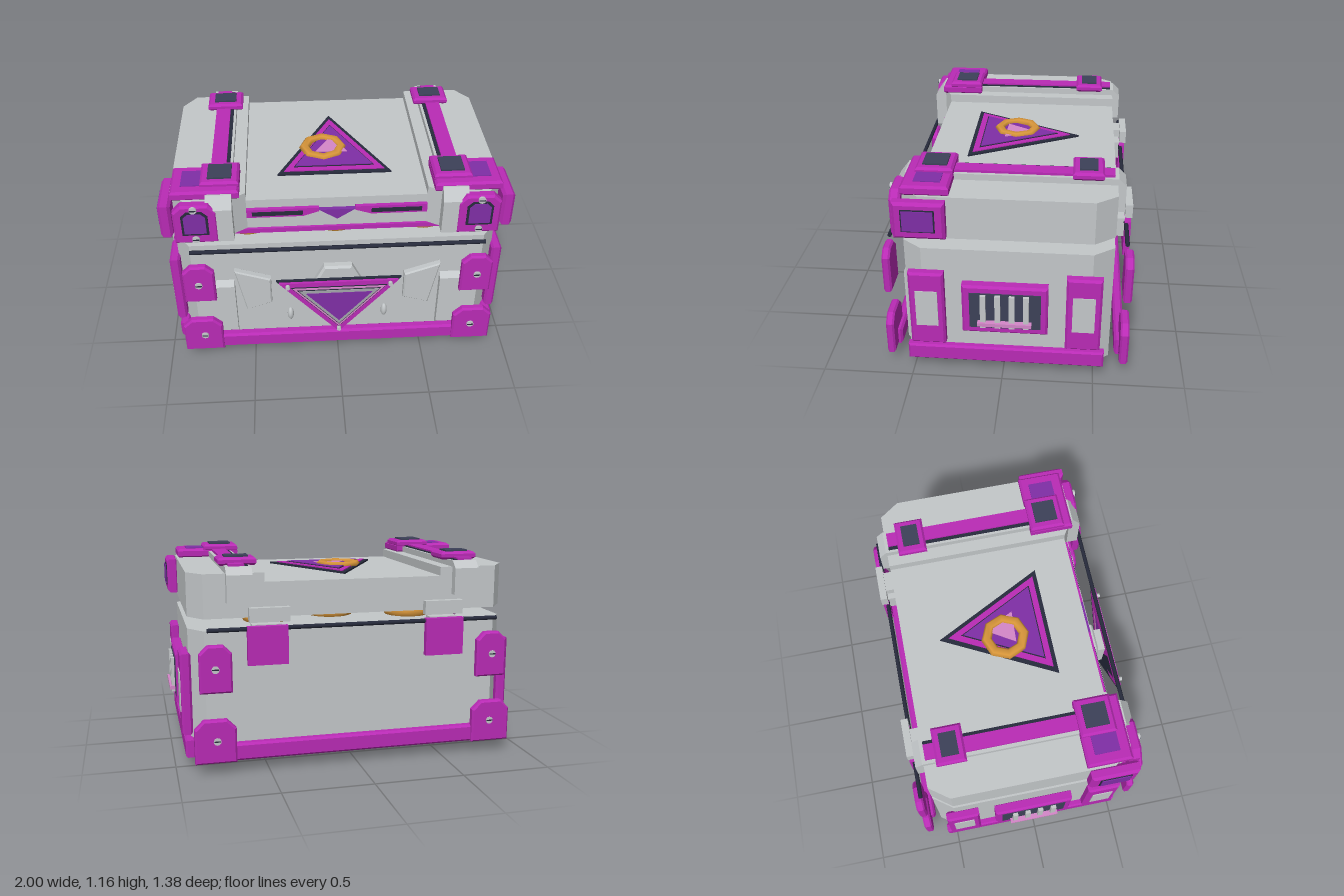
import * as THREE from 'three';

const mat = (name, color, side = THREE.FrontSide) => {
  const m = new THREE.MeshStandardMaterial({ color, side });
  m.name = name;
  return m;
};

export function createModel() {
  const root = new THREE.Group();
  root.name = 'chest';
  const grey = mat('light grey', 0xc3c7c9), magenta = mat('magenta', 0xb92bb5);
  const purple = mat('purple', 0x7f2ea6), navy = mat('navy', 0x3c4158);
  const dark = mat('dark trim', 0x272b3c), gold = mat('gold', 0xd8963a), pink = mat('pink', 0xd487c9);
  const steel = mat('steel', 0xa3a6aa);

  const add = (name, geo, m) => {
    const mesh = new THREE.Mesh(geo, m);
    mesh.name = name;
    root.add(mesh);
    return mesh;
  };
  const box = (name, m, x0, x1, y0, y1, z0, z1) => {
    const g = new THREE.BoxGeometry(Math.abs(x1 - x0), Math.abs(y1 - y0), Math.abs(z1 - z0));
    g.translate((x0 + x1) / 2, (y0 + y1) / 2, (z0 + z1) / 2);
    return add(name, g, m);
  };
  // Prism along an axis; points are (x,y) for z, (z,y) for x and (x,z) for y
  const prism = (name, m, axis, pts, a, b, bevel = 0) => {
    const lo = Math.min(a, b), d = Math.abs(b - a);
    const p = pts.map(([u, v]) => new THREE.Vector2(axis === 'x' ? -u : u, axis === 'y' ? -v : v));
    const g = new THREE.ExtrudeGeometry(new THREE.Shape(p), {
      depth: d - 2 * bevel, bevelEnabled: bevel > 0, bevelSize: bevel,
      bevelThickness: bevel, bevelOffset: -bevel, bevelSegments: 1
    });
    g.translate(0, 0, lo + bevel);
    if (axis === 'x') g.rotateY(Math.PI / 2);
    if (axis === 'y') g.rotateX(-Math.PI / 2);
    return add(name, g, m);
  };
  const rect = (u0, u1, v0, v1) => [[u0, v0], [u1, v0], [u1, v1], [u0, v1]];
  // Rectangle with clipped top corners
  const clipped = (u0, u1, v0, v1, c) =>
    [[u0, v0], [u1, v0], [u1, v1 - c], [u1 - c, v1], [u0 + c, v1], [u0, v1 - c]];
  // Triangle shrunk around its incentre
  const inset = ([a, b, c], k) => {
    const len = (p, q) => Math.hypot(p[0] - q[0], p[1] - q[1]);
    const la = len(b, c), lb = len(a, c), lc = len(a, b), s = la + lb + lc;
    const i = [0, 1].map(n => (la * a[n] + lb * b[n] + lc * c[n]) / s);
    return [a, b, c].map(p => [i[0] + (p[0] - i[0]) * k, i[1] + (p[1] - i[1]) * k]);
  };
  const screw = (x, y, z) => {
    const g = new THREE.CylinderGeometry(0.021, 0.021, 0.012, 12).rotateX(Math.PI / 2);
    add('screw', g.translate(x, y, z), grey);
    const out = z + Math.sign(z) * 0.007;
    box('screwSlot', dark, x - 0.018, x + 0.018, y - 0.003, y + 0.003, out - 0.002, out + 0.002);
  };

  // Body with clipped vertical corners
  prism('body', grey, 'y', [[-0.83, -0.585], [0.83, -0.585], [0.91, -0.475], [0.91, 0.43],
    [0.83, 0.535], [-0.83, 0.535], [-0.91, 0.43], [-0.91, -0.475]], 0.065, 0.775);

  // Lid centre and its front trim
  box('lidCentre', grey, -0.5, 0.5, 0.84, 1.03, -0.585, 0.47);
  box('lidLowerTrim', magenta, -0.6, 0.6, 0.812, 0.84, 0.45, 0.485);
  prism('lidFrontGem', purple, 'z', [[-0.1, 0.965], [0, 0.9], [0.1, 0.965]], 0.47, 0.495);

  // Treasure heaped in the gap
  for (const [x, z, r] of [[-0.5, 0.3, 0.16], [0, 0.32, 0.14], [0.5, 0.3, 0.16], [-0.3, 0.02, 0.15],
    [0.3, 0.05, 0.14], [0.6, 0.02, 0.13], [-0.6, -0.1, 0.13], [0.05, -0.2, 0.14], [0.45, -0.31, 0.14], [-0.4, -0.3, 0.14]]) {
    const g = new THREE.IcosahedronGeometry(r, 2).scale(1, 0.55, 1);
    add('treasure', g.translate(x, 0.8, z), gold);
  }

  for (const s of [-1, 1]) {
    const mx = pts => pts.map(([x, v]) => [x * s, v]);
    // Raised lid shoulder, strap and its coloured bands
    prism('lidShoulder', grey, 'y', mx([[0.5, -0.585], [0.83, -0.585], [0.91, -0.475], [0.91, 0.43],
      [0.83, 0.53], [0.595, 0.53], [0.5, 0.47]]), 0.84, 1.08);
    prism('lidStrap', grey, 'x', [[0.58, 0.84], [0.58, 1.05], [0.53, 1.115], [-0.59, 1.115],
      [-0.63, 1.075], [-0.63, 0.925], [-0.585, 0.925], [-0.585, 0.84]], s * 0.57, s * 0.71);
    box('strapBand', magenta, s * 0.605, s * 0.69, 1.11, 1.128, -0.57, 0.5);
    box('strapShadowLine', dark, s * 0.585, s * 0.605, 1.11, 1.119, -0.57, 0.5);

    // Plates and buckles on top of the lid
    prism('cornerTopPlate', magenta, 'y', mx(rect(0.53, 0.9, 0.27, 0.52)), 1.075, 1.13, 0.012);
    box('cornerTopInlay', purple, s * 0.72, s * 0.845, 1.127, 1.134, 0.32, 0.46);
    for (const [z0, z1] of [[0.27, 0.47], [-0.515, -0.35]]) {
      prism('buckle', magenta, 'y', mx(rect(0.53, 0.74, z0, z1)), 1.112, 1.155, 0.012);
      box('buckleInlay', navy, s * 0.57, s * 0.7, 1.15, 1.164, z0 + 0.035, z1 - 0.035);
    }

    // Lid corner guards
    prism('lidFrontGuard', magenta, 'z', mx(clipped(0.65, 0.89, 0.835, 1.085, 0.045)), 0.525, 0.585, 0.012);
    prism('lidFrontGuardRim', dark, 'z', mx(clipped(0.7, 0.845, 0.895, 1.05, 0.03)), 0.58, 0.589);
    prism('lidFrontGuardInlay', purple, 'z', mx(clipped(0.713, 0.832, 0.908, 1.038, 0.025)), 0.585, 0.593);
    screw(s * 0.775, 1.063, 0.588);
    screw(s * 0.775, 0.866, 0.588);
    prism('lidSideGuard', magenta, 'x', rect(0.285, 0.555, 0.86, 1.068), s * 0.9, s * 0.968, 0.015);
    box('lidSideGuardRim', dark, s * 0.965, s * 0.972, 0.905, 1.032, 0.335, 0.51);
    box('lidSideGuardInlay', purple, s * 0.968, s * 0.977, 0.912, 1.026, 0.342, 0.503);

    // Magenta grille bars on the lid front
    prism('lidFrontBar', magenta, 'z', mx([[0.5, 0.925], [0.5, 0.978], [0.1, 0.978], [0.1, 0.955], [0.19, 0.925]]), 0.465, 0.492);
    box('lidFrontSlot', dark, s * 0.19, s * 0.47, 0.938, 0.963, 0.488, 0.497);

    // Feet and relief on the body front
    prism('foot', grey, 'x', [[0.575, 0.045], [0.535, 0], [0.385, 0], [0.34, 0.07], [0.53, 0.07], [0.53, 0.515],
      [0.575, 0.49]], s * 0.595, s * 0.715);
    prism('frontRelief', grey, 'z', mx([[0.59, 0.605], [0.385, 0.535], [0.385, 0.355], [0.535, 0.305]]), 0.53, 0.575, 0.008);
    const stud = new THREE.SphereGeometry(1, 12, 8).scale(0.019, 0.046, 0.025);
    add('frontStud', stud.translate(s * 0.28, 0.225, 0.535), grey);

    // Corner plates front and back
    for (const [z0, z1] of [[0.61, 0.655], [-0.69, -0.642]]) {
      prism('lowerCornerPlate', magenta, 'z', mx(clipped(0.68, 0.905, 0.068, 0.31, 0.05)), z0, z1, 0.01);
      prism('upperCornerPlate', magenta, 'z', mx(clipped(0.695, 0.87, 0.457, 0.715, 0.045)), z0, z1, 0.01);
      const face = z0 > 0 ? z1 + 0.003 : z0 + 0.003;
      screw(s * 0.785, 0.193, face);
      screw(s * 0.785, 0.588, face);
    }

    // Side rail, windowed panels and vent
    prism('sideRail', magenta, 'x', rect(-0.555, 0.525, 0.068, 0.165), s * 0.89, s * 0.945, 0.01);
    for (const [z0, z1] of [[0.31, 0.5], [-0.53, -0.34]]) {
      prism('sidePanel', magenta, 'x', rect(z0, z1, 0.19, 0.645), s * 0.9, s * 0.958, 0.012);
      box('sidePanelInlay', grey, s * 0.955, s * 0.963, 0.315, 0.535, z0 + 0.035, z1 - 0.035);
    }
    prism('ventFrame', magenta, 'x', rect(-0.245, 0.215, 0.285, 0.585), s * 0.9, s * 0.966, 0.012);
    box('ventOpening', navy, s * 0.964, s * 0.97, 0.325, 0.545, -0.208, 0.174);
    for (const z of [0.1, 0.022, -0.054, -0.13])
      box('ventBar', grey, s * 0.968, s * 0.988, 0.335, 0.538, z - 0.015, z + 0.015);
    box('ventCrossbar', pink, s * 0.97, s * 1, 0.352, 0.373, -0.16, 0.13);

    // Back hinges
    box('hingePlate', magenta, s * 0.39, s * 0.61, 0.595, 0.805, -0.675, -0.64);
    box('hingeBase', grey, s * 0.42, s * 0.58, 0.7, 0.81, -0.642, -0.58);
    box('hingeLidBlock', grey, s * 0.38, s * 0.6, 0.828, 0.905, -0.68, -0.64);
    box('hingeArm', grey, s * 0.44, s * 0.56, 0.845, 0.89, -0.642, -0.58);
  }
  add('hingeKnob', new THREE.SphereGeometry(0.03, 12, 8).translate(-0.58, 0.835, -0.585), magenta);

  // Bottom rails and dark bars
  prism('frontRail', magenta, 'z', rect(-0.82, 0.82, 0.068, 0.165), 0.585, 0.64, 0.012);
  prism('backRail', magenta, 'z', rect(-0.82, 0.82, 0.068, 0.165), -0.67, -0.615, 0.012);
  for (const z of [0.61, -0.648]) {
    const g = new THREE.CylinderGeometry(0.012, 0.012, 1.64, 8).rotateZ(Math.PI / 2);
    add('bar', g.translate(0, 0.79, z), dark);
  }

  // Latch behind the front emblem
  prism('latch', grey, 'z', [[-0.08, 0.62], [-0.14, 0.5], [-0.14, 0.28], [-0.08, 0.2],
    [0.08, 0.2], [0.14, 0.28], [0.14, 0.5], [0.08, 0.62]], 0.53, 0.585, 0.012);
  box('emblemMount', grey, -0.07, 0.07, 0.34, 0.54, 0.58, 0.645);

  // Nested triangle emblem on the front
  const front = [[-0.355, 0.592], [0.355, 0.592], [0, 0.18]];
  [['Back', dark, 1, 0.655], ['Frame', magenta, 0.95, 0.67], ['Gap', dark, 0.77, 0.673], ['Line', pink, 0.74, 0.677],
    ['Groove', dark, 0.67, 0.679], ['Rim', steel, 0.64, 0.682], ['Gem', purple, 0.53, 0.685]]
    .forEach(([n, m, k, z]) => prism('frontEmblem' + n, m, 'z', inset(front, k), 0.64, z));
  for (const [x, y] of [[-0.29, 0.565], [0.29, 0.565], [0, 0.225]]) {
    const g = new THREE.CylinderGeometry(0.013, 0.013, 0.02, 10).rotateX(Math.PI / 2);
    add('emblemPin', g.translate(x, y, 0.679), grey);
  }

  // Nested triangle emblem on the lid, with a ring
  const top = [[-0.325, 0.25], [0.325, 0.25], [0, -0.375]];
  [['Back', dark, 1, 1.04], ['Frame', magenta, 0.88, 1.046], ['Gap', dark, 0.71, 1.049], ['Gem', purple, 0.68, 1.053]]
    .forEach(([n, m, k, y]) => prism('lidEmblem' + n, m, 'y', inset(top, k), 1.025, y));
  const ring = new THREE.TorusGeometry(0.108, 0.032, 6, 8).rotateX(Math.PI / 2).scale(1, 0.6, 1);
  add('ring', ring.translate(-0.055, 1.05, -0.005), gold);
  prism('ringGem', pink, 'y', [[-0.1, 0.05], [0.085, 0.06], [0.03, -0.06], [-0.02, -0.08]], 1.05, 1.058);

  return root;
}
